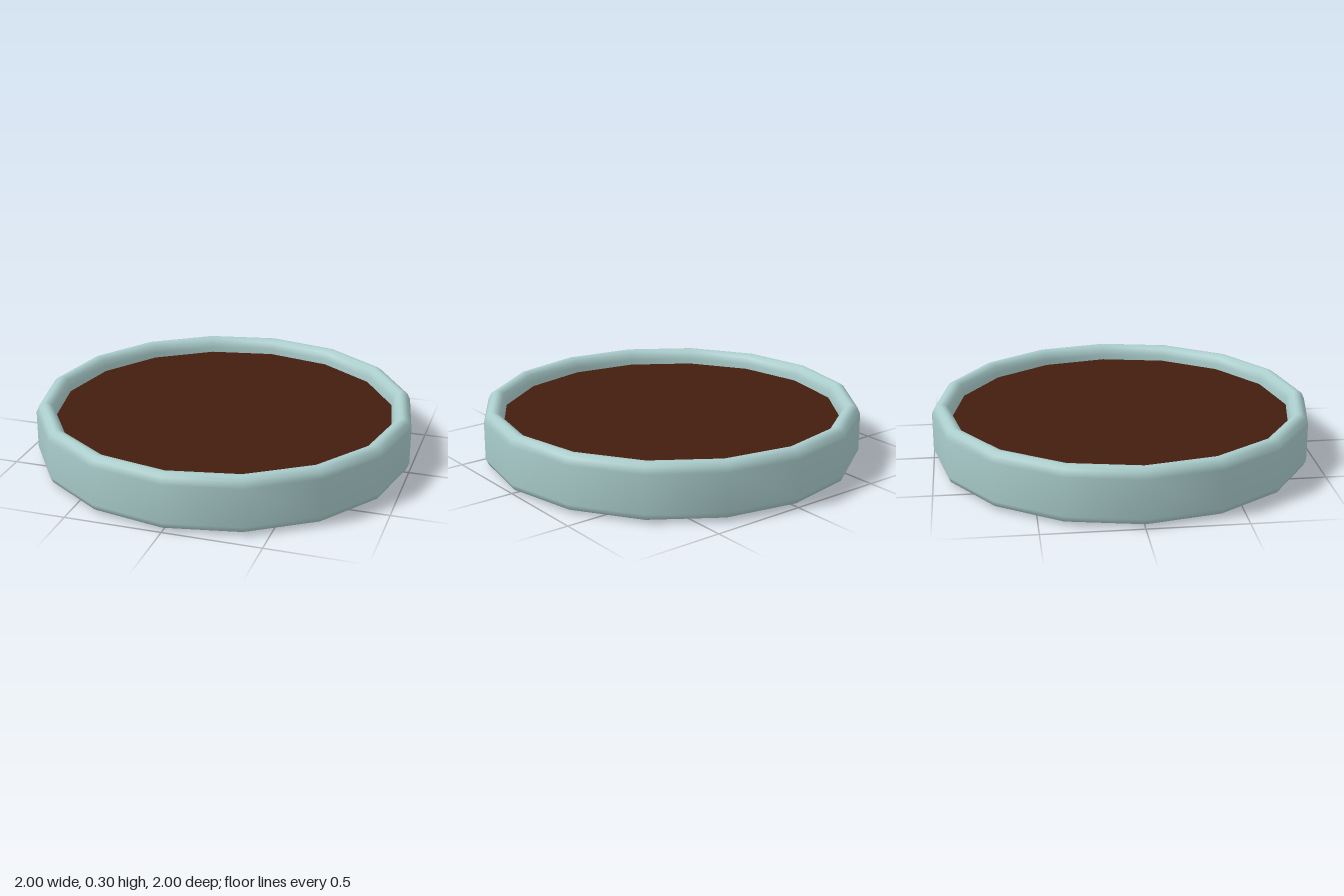
import * as THREE from 'three';

const SIDES = 16;

export function createModel() {
  const model = new THREE.Group();
  model.name = 'shallowTray';

  // Tray: flat base, rounded lower edge, upright wall, rounded rim, inner wall
  const profile = [
    [0, 0], [0.9, 0], [0.95, 0.004], [0.985, 0.018], [1, 0.05],
    [1, 0.25], [0.985, 0.283], [0.965, 0.297], [0.95, 0.3], [0.935, 0.297],
    [0.915, 0.283], [0.9, 0.25], [0.9, 0.19],
  ].map(([r, y]) => new THREE.Vector2(r, y));
  const tray = new THREE.Mesh(
    new THREE.LatheGeometry(profile, SIDES),
    new THREE.MeshStandardMaterial({ color: 0xa9cccb, side: THREE.DoubleSide })
  );
  tray.name = 'tray';
  model.add(tray);

  // Flat filling just below the rim
  const filling = new THREE.Mesh(
    new THREE.CircleGeometry(0.9, SIDES).rotateX(-Math.PI / 2),
    new THREE.MeshStandardMaterial({ color: 0x441d0f })
  );
  filling.name = 'filling';
  filling.position.y = 0.22;
  model.add(filling);

  return model;
}
